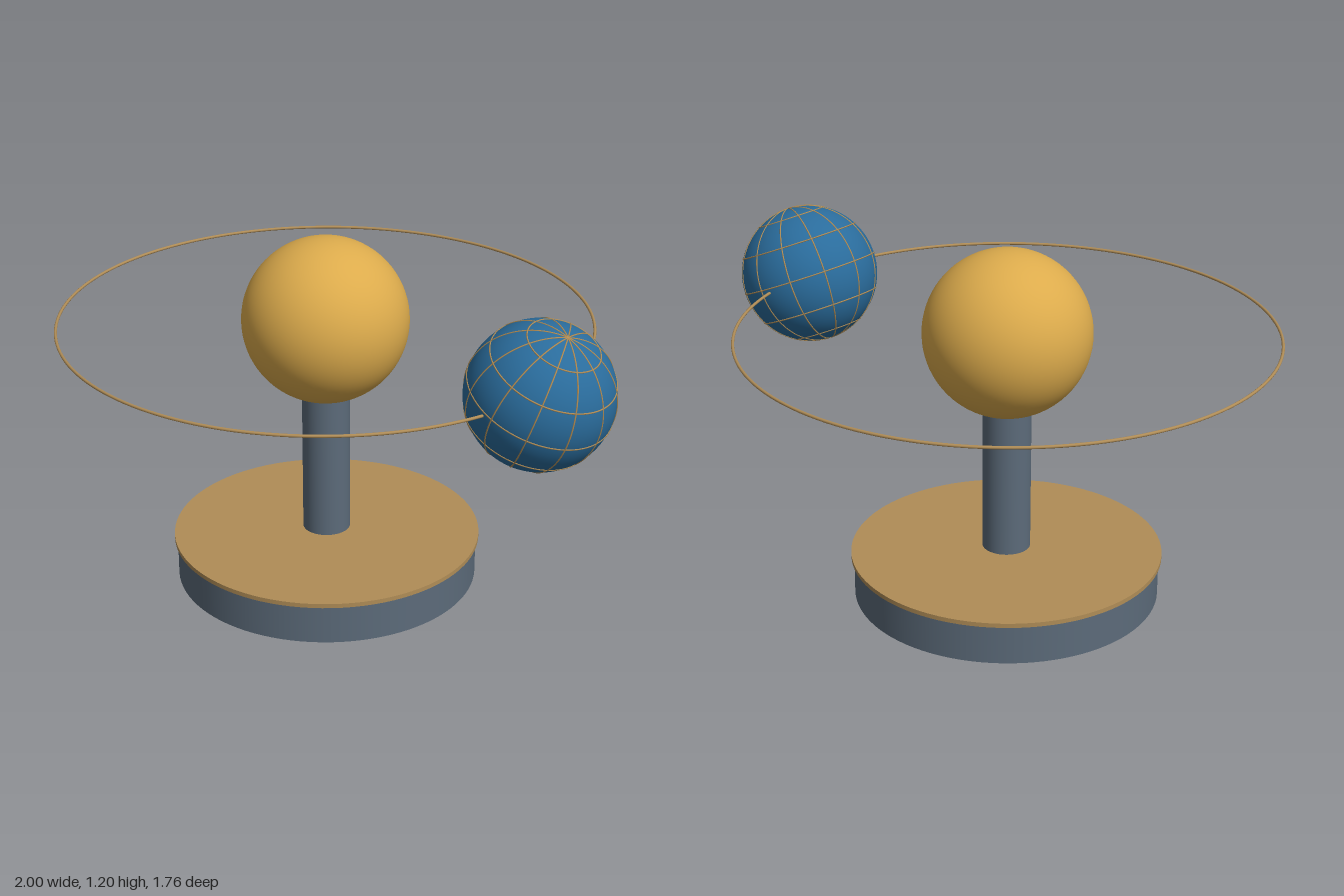
import * as THREE from 'three';

const material = (name, color) => {
  const m = new THREE.MeshStandardMaterial({ color });
  m.name = name;
  return m;
};

export function createModel() {
  const slate = material('slate', 0x5c6b7a);
  const brass = material('brass', 0xb08d57);
  const gold = material('sun gold', 0xdcab4c);
  const blue = material('globe blue', 0x2a6c9c);

  const model = new THREE.Group();
  model.name = 'orrery';
  const add = (parent, name, geometry, mat, x = 0, y = 0, z = 0) => {
    const mesh = new THREE.Mesh(geometry, mat);
    mesh.name = name;
    mesh.position.set(x, y, z);
    parent.add(mesh);
    return mesh;
  };

  const axisX = -0.12, orbitY = 0.92, orbitR = 0.876;

  // Stand: base drum, brass top plate and column
  add(model, 'base', new THREE.CylinderGeometry(0.51, 0.51, 0.135, 96), slate, axisX, 0.0675);
  add(model, 'basePlate', new THREE.CylinderGeometry(0.52, 0.52, 0.015, 96), brass, axisX, 0.1415);
  add(model, 'column', new THREE.CylinderGeometry(0.08, 0.08, 0.54, 48), slate, axisX, 0.43);

  // Central sun and its orbit ring
  add(model, 'sun', new THREE.SphereGeometry(0.276, 64, 40), gold, axisX, orbitY);
  add(model, 'orbitRing', new THREE.TorusGeometry(orbitR, 0.005, 10, 160), brass, axisX, orbitY)
    .rotation.x = Math.PI / 2;

  // Tilted globe with a raised wire graticule every 30 degrees
  const globe = new THREE.Group();
  globe.name = 'globe';
  globe.position.set(axisX + orbitR + 0.005, orbitY, 0);
  globe.rotation.z = THREE.MathUtils.degToRad(-23.4);
  model.add(globe);
  const R = 0.233, wire = 0.0025;
  add(globe, 'globeBall', new THREE.SphereGeometry(R, 64, 40), blue);
  for (let i = 0; i < 6; i++) {
    add(globe, 'meridian', new THREE.TorusGeometry(R, wire, 6, 96), brass)
      .rotation.y = i * Math.PI / 6;
  }
  for (let i = -2; i <= 2; i++) {
    const lat = i * Math.PI / 6;
    add(globe, 'parallel', new THREE.TorusGeometry(R * Math.cos(lat), wire, 6, 96), brass,
      0, R * Math.sin(lat)).rotation.x = Math.PI / 2;
  }
  return model;
}
